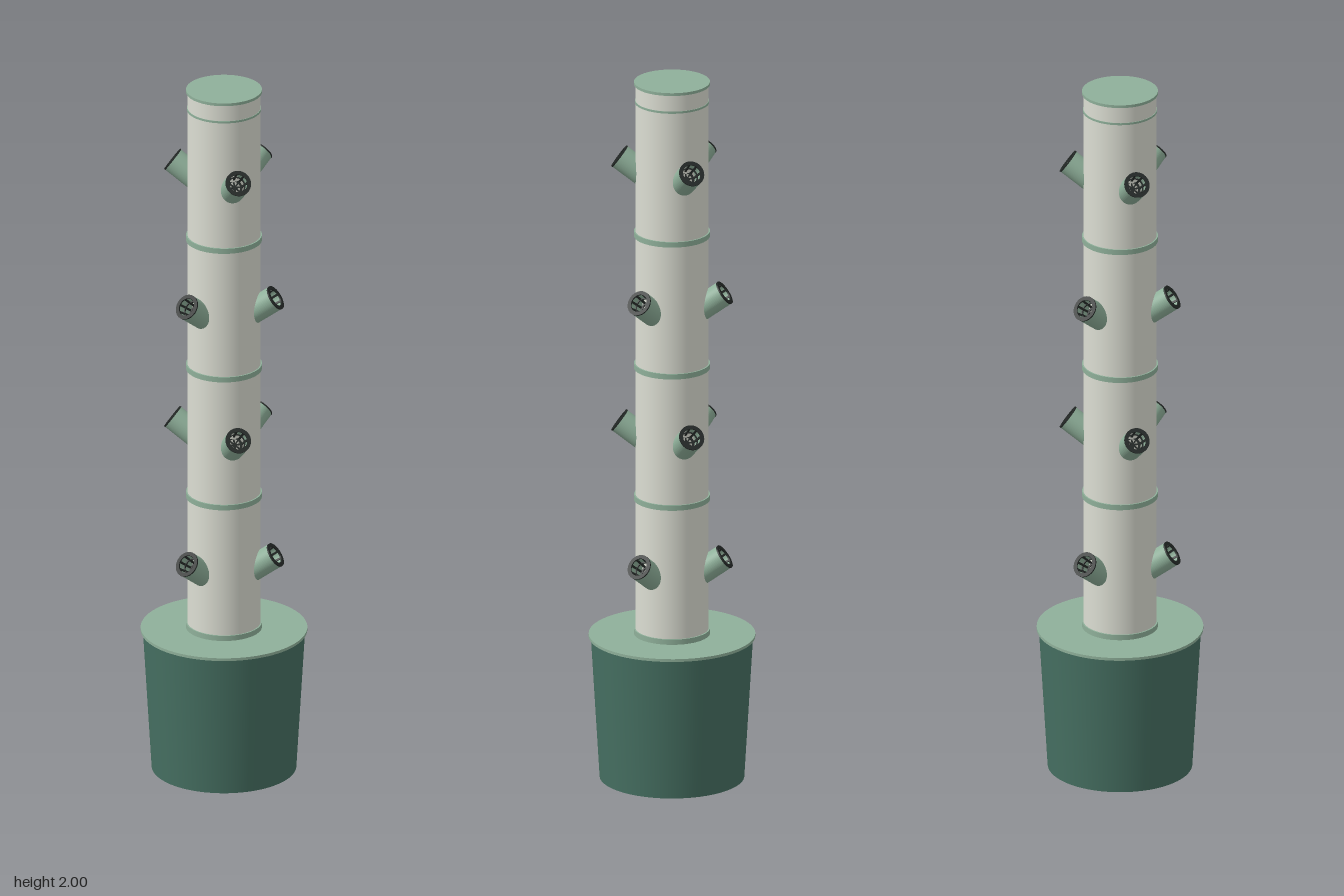
import * as THREE from 'three';

const mat = (name, color, side = THREE.FrontSide) => {
  const m = new THREE.MeshStandardMaterial({ color, side });
  m.name = name;
  return m;
};

export function createModel() {
  const ivory = mat('ivory', 0xdcded3);
  const sage = mat('sage green', 0x8fb09a);
  const forest = mat('forest green', 0x467062);
  const black = mat('charcoal', 0x262b29);

  const root = new THREE.Group();
  root.name = 'planterTower';

  const add = (parent, name, geometry, material, y = 0) => {
    const mesh = new THREE.Mesh(geometry, material);
    mesh.name = name;
    mesh.position.y = y;
    parent.add(mesh);
    return mesh;
  };
  const disc = (r, h, rBottom = r) => new THREE.CylinderGeometry(r, rBottom, h, 64);
  // closed ring with a rectangular section
  const ring = (rIn, rOut, y0, y1, n = 32) => {
    const s = new THREE.Shape().absarc(0, 0, rOut, 0, Math.PI * 2);
    s.holes.push(new THREE.Path().absarc(0, 0, rIn, 0, Math.PI * 2, true));
    const g = new THREE.ExtrudeGeometry(s, { depth: y1 - y0, bevelEnabled: false, curveSegments: n });
    return g.rotateX(-Math.PI / 2).translate(0, y0, 0);
  };

  // Reservoir and its lid
  add(root, 'reservoir', disc(0.222, 0.403, 0.198), forest, 0.2015);
  add(root, 'reservoirLid', disc(0.228, 0.008), sage, 0.407);

  // Column, joint collars and top cap
  add(root, 'column', disc(0.1, 1.583), ivory, 1.2);
  for (const y of [0.419, 0.805, 1.183, 1.563]) add(root, 'collar', disc(0.104, 0.015), sage, y);
  add(root, 'capSeam', disc(0.1015, 0.006), sage, 1.943);
  add(root, 'topCap', disc(0.104, 0.008), sage, 1.996);

  // Planting port: local +y runs out through the mouth, origin at the mouth centre
  const pipeGeo = ring(0.03, 0.035, -0.1, -0.001);
  const rimGeo = ring(0.025, 0.0355, -0.002, 0.002);
  const hoopGeo = ring(0.022, 0.025, -0.026, -0.022);
  const baseGeo = ring(0.016, 0.0215, -0.048, -0.044);
  const ribGeo = new THREE.BoxGeometry(0.0025, 0.048, 0.006);
  const barGeo = new THREE.BoxGeometry(0.036, 0.003, 0.004);

  const makePort = () => {
    const port = new THREE.Group();
    port.name = 'plantingPort';
    add(port, 'portPipe', pipeGeo, sage);
    const cup = new THREE.Group();
    cup.name = 'netCup';
    port.add(cup);
    add(cup, 'cupRim', rimGeo, black);
    add(cup, 'cupHoop', hoopGeo, black);
    add(cup, 'cupBase', baseGeo, black);
    for (let i = 0; i < 8; i++) {
      const holder = new THREE.Group();
      holder.name = 'cupRib';
      holder.rotation.y = (i * Math.PI) / 4;
      const rib = add(holder, 'rib', ribGeo, black, -0.024);
      rib.position.x = 0.0235;
      rib.rotation.z = -0.13;
      cup.add(holder);
    }
    for (let i = 0; i < 4; i++) {
      add(cup, 'cupFloorBar', barGeo, black, -0.046).rotation.y = (i * Math.PI) / 4;
    }
    return port;
  };

  // Four tiers of three ports, alternate tiers turned by half a turn
  const tilt = THREE.MathUtils.degToRad(36);
  for (let tier = 0; tier < 4; tier++) {
    for (let k = 0; k < 3; k++) {
      const arm = new THREE.Group();
      arm.name = 'portArm';
      arm.rotation.y = (k * 2 * Math.PI) / 3 + (tier % 2) * Math.PI;
      const port = makePort();
      port.position.set(0.145, 0.638 + tier * 0.38, 0);
      port.rotation.z = tilt - Math.PI / 2;
      arm.add(port);
      root.add(arm);
    }
  }
  return root;
}
